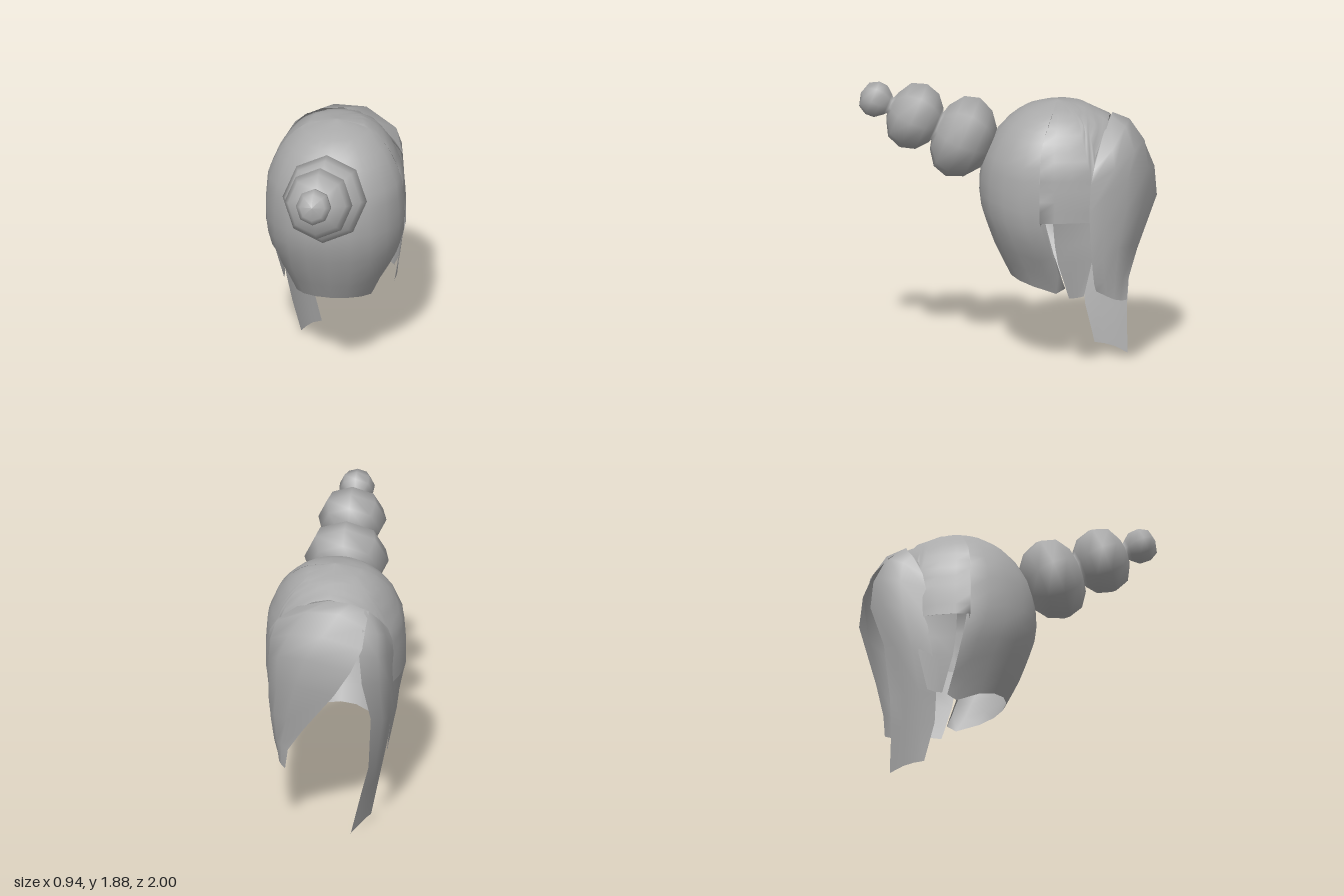
import * as THREE from 'three';
import { mergeVertices } from 'three/addons/utils/BufferGeometryUtils.js';

const hair = new THREE.MeshStandardMaterial({ color: 0xaaaaaa, side: THREE.DoubleSide });
hair.name = 'hairGrey';

// Skin rows of points into one smooth sheet
function sheet(rows, name) {
  const n = rows[0].length, index = [];
  for (let i = 0; i < rows.length - 1; i++)
    for (let j = 0; j < n - 1; j++) {
      const a = i * n + j, b = a + 1, c = a + n, d = c + 1;
      index.push(a, c, b, b, c, d);
    }
  let g = new THREE.BufferGeometry();
  g.setAttribute('position', new THREE.Float32BufferAttribute(rows.flat(2), 3));
  g.setIndex(index);
  g = mergeVertices(g, 1e-4);
  g.computeVertexNormals();
  const m = new THREE.Mesh(g, hair);
  m.name = name;
  return m;
}

// Cap cross-sections: y, half width, centre z, depth towards +z, depth towards -z
const sections = [
  [1.785, 0, -0.33, 0, 0], [1.75, 0.2, -0.33, 0.19, 0.2], [1.67, 0.31, -0.31, 0.3, 0.39],
  [1.57, 0.385, -0.28, 0.36, 0.5], [1.4, 0.455, -0.27, 0.44, 0.62], [1.2, 0.47, -0.27, 0.47, 0.67],
  [1.04, 0.47, -0.27, 0.45, 0.67], [0.85, 0.42, -0.27, 0.385, 0.63], [0.75, 0.365, -0.27, 0.34, 0.6],
  [0.59, 0.28, -0.27, 0.26, 0.6], [0.5, 0.25, -0.27, 0.23, 0.6],
];
function capPoint(deg, y) {
  let i = 0;
  while (i < sections.length - 2 && y < sections[i + 1][0]) i++;
  const p = sections[i], q = sections[i + 1], k = (p[0] - y) / (p[0] - q[0]);
  const [, w, c, b, f] = p.map((v, n) => v + (q[n] - v) * k);
  const a = THREE.MathUtils.degToRad(deg), cos = Math.cos(a);
  return [w * Math.sin(a), y, c + cos * (cos > 0 ? b : f)];
}

// Cap columns: angle above, angle at lower end, lower end height
const half = [
  [0, 0, 0.595], [18, 22, 0.59], [36, 45, 0.575], [54, 70, 0.55], [72, 97, 0.5], [87, 103, 0.54],
  [87.5, 87.5, 1.04], [97, 97, 1.04], [108, 108, 1.04], [120, 120, 1.04], [124, 124, 1.3],
  [128, 128, 1.48], [140, 140, 1.58], [160, 160, 1.66], [180, 180, 1.68],
];

function cap() {
  const columns = [...half.slice(1).reverse().map(([a, b, y]) => [-a, -b, y]), ...half];
  const rows = 16;
  return sheet(columns.map(([a, b, end]) => {
    const col = [];
    for (let r = 0; r <= rows; r++) {
      const y = end + (1.785 - end) * Math.cos((r / rows) * Math.PI / 2);
      const lean = y < 1.04 && end < 1.04 ? (1.04 - y) / (1.04 - end) : 0;
      col.push(capPoint(a + (b - a) * lean, y));
    }
    return col;
  }), 'hairCap');
}

// Lock in front of the notch at each side of the cap
const sideLock = [
  [[0.467, 1.04, -0.34], [0.445, 1.04, -0.47], [0.407, 1.04, -0.605]],
  [[0.435, 0.88, -0.35], [0.43, 0.88, -0.47], [0.41, 0.9, -0.6]],
  [[0.42, 0.75, -0.37], [0.415, 0.76, -0.47], [0.405, 0.78, -0.6]],
  [[0.37, 0.5, -0.44], [0.37, 0.505, -0.49], [0.38, 0.52, -0.54]],
];

// Wide fringe sweeping from the parting to the +x side
const wideFringe = [
  [[0.355, 1.49, -0.62], [0.22, 1.61, -0.66], [0, 1.68, -0.69], [-0.15, 1.665, -0.69], [-0.27, 1.61, -0.68]],
  [[0.41, 1.4, -0.61], [0.35, 1.53, -0.73], [0.14, 1.64, -0.8], [-0.08, 1.64, -0.81], [-0.26, 1.54, -0.8]],
  [[0.42, 1.3, -0.59], [0.385, 1.41, -0.75], [0.25, 1.5, -0.87], [0.02, 1.52, -0.92], [-0.25, 1.43, -0.9]],
  [[0.42, 1.1, -0.58], [0.41, 1.22, -0.68], [0.33, 1.31, -0.83], [0.13, 1.36, -0.955], [-0.18, 1.29, -0.97]],
  [[0.42, 0.9, -0.59], [0.41, 1, -0.68], [0.34, 1.1, -0.82], [0.2, 1.15, -0.93], [-0.07, 1.12, -0.995]],
  [[0.4, 0.72, -0.6], [0.395, 0.78, -0.67], [0.36, 0.85, -0.77], [0.27, 0.85, -0.85], [0.15, 0.8, -0.88]],
  [[0.375, 0.6, -0.61], [0.37, 0.62, -0.68], [0.345, 0.64, -0.75], [0.31, 0.64, -0.8], [0.26, 0.62, -0.83]],
  [[0.35, 0.55, -0.62], [0.345, 0.52, -0.68], [0.33, 0.49, -0.74], [0.31, 0.48, -0.78], [0.28, 0.475, -0.82]],
];

// Narrow fringe on the -x side, running down into a long lock
const longLock = [
  [[-0.39, 1.45, -0.6], [-0.35, 1.52, -0.64], [-0.3, 1.58, -0.67], [-0.24, 1.63, -0.68]],
  [[-0.415, 1.35, -0.57], [-0.385, 1.45, -0.7], [-0.34, 1.5, -0.79], [-0.24, 1.53, -0.82]],
  [[-0.42, 1.25, -0.55], [-0.4, 1.31, -0.72], [-0.35, 1.35, -0.85], [-0.23, 1.38, -0.9]],
  [[-0.42, 1.05, -0.55], [-0.41, 1.1, -0.7], [-0.36, 1.15, -0.84], [-0.25, 1.18, -0.92]],
  [[-0.42, 0.8, -0.51], [-0.4, 0.81, -0.64], [-0.37, 0.84, -0.76], [-0.3, 0.88, -0.83]],
  [[-0.36, 0.5, -0.48], [-0.345, 0.5, -0.59], [-0.32, 0.5, -0.69], [-0.28, 0.5, -0.79]],
  [[-0.32, 0.3, -0.49], [-0.3, 0.3, -0.59], [-0.27, 0.3, -0.69], [-0.23, 0.3, -0.78]],
  [[-0.27, 0.04, -0.56], [-0.24, 0.04, -0.63], [-0.21, 0.03, -0.7], [-0.16, 0, -0.79]],
];

// Three shrinking beads of tied hair, turned as one profile
function ponytail() {
  const profile = [
    [0, -0.21], [0.14, -0.19], [0.24, -0.11], [0.285, 0], [0.255, 0.1], [0.16, 0.17], [0.1, 0.185],
    [0.13, 0.2], [0.2, 0.26], [0.23, 0.36], [0.195, 0.46], [0.1, 0.515], [0.055, 0.53],
    [0.075, 0.55], [0.115, 0.6], [0.118, 0.66], [0.085, 0.72], [0, 0.745],
  ].map(([r, y]) => new THREE.Vector2(r, y));
  const m = new THREE.Mesh(new THREE.LatheGeometry(profile, 8), hair);
  m.scale.z = 1.04;
  m.rotation.x = THREE.MathUtils.degToRad(67);
  m.position.set(0, 1.51, 0.305);
  m.name = 'beadedPonytail';
  return m;
}

export function createModel() {
  const group = new THREE.Group();
  group.name = 'hairstyle';
  group.add(cap(), ponytail());
  for (const [s, name] of [[1, 'leftSideLock'], [-1, 'rightSideLock']])
    group.add(sheet(sideLock.map(row => row.map(([x, y, z]) => [s * x, y, z])), name));
  group.add(sheet(wideFringe, 'wideFringe'), sheet(longLock, 'longLock'));
  return group;
}
